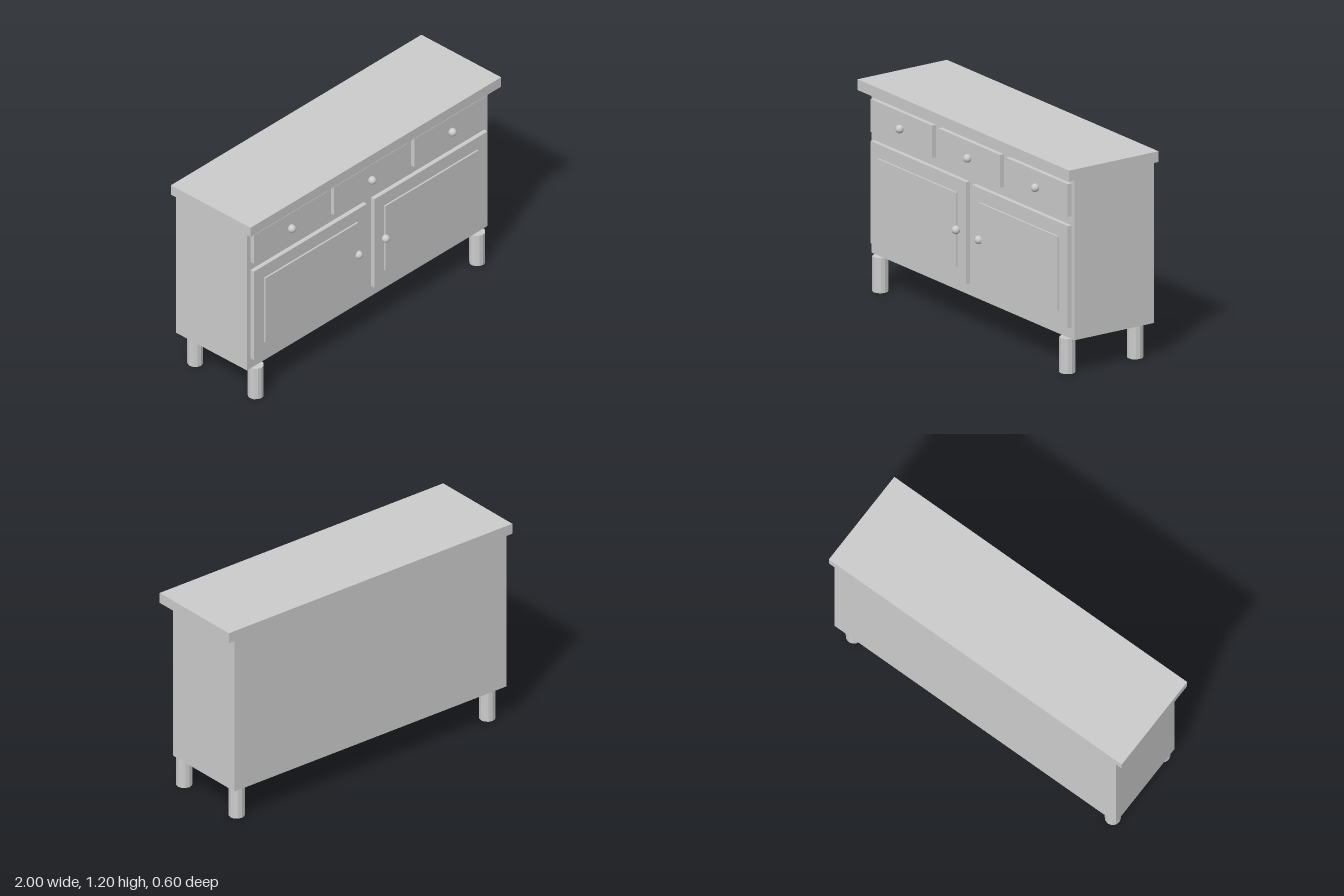
import * as THREE from 'three';

export function createModel() {
  const model = new THREE.Group();
  model.name = 'sideboard';
  const paint = new THREE.MeshStandardMaterial({ color: 0xcccccc });
  paint.name = 'light grey';
  const legPaint = paint;

  const add = (name, geometry, x, y, z, material = paint) => {
    const mesh = new THREE.Mesh(geometry, material);
    mesh.name = name;
    mesh.position.set(x, y, z);
    model.add(mesh);
    return mesh;
  };
  // Box given by its limits on each axis
  const box = (name, x0, x1, y0, y1, z0, z1) =>
    add(name, new THREE.BoxGeometry(x1 - x0, y1 - y0, z1 - z0),
      (x0 + x1) / 2, (y0 + y1) / 2, (z0 + z1) / 2);

  // Carcass and overhanging top, flush at the back
  box('cabinetBody', -0.96, 0.96, 0.202, 1.138, -0.3, 0.235);
  box('tableTop', -1, 1, 1.138, 1.2, -0.3, 0.3);

  const knobGeometry = new THREE.SphereGeometry(0.024, 16, 12);
  const knob = (name, x, y) => add(name, knobGeometry, x, y, 0.273);

  // Three drawers with centred knobs
  for (const x of [-0.641, 0, 0.641]) {
    box('drawerFront', x - 0.291, x + 0.291, 0.909, 1.097, 0.235, 0.261);
    knob('drawerKnob', x, 1.003);
  }

  // Two mirrored doors with raised panels and knobs on the inner edge
  for (const side of [-1, 1]) {
    const mirrored = (name, a, b, ...rest) =>
      box(name, Math.min(side * a, side * b), Math.max(side * a, side * b), ...rest);
    mirrored('door', 0.03, 0.932, 0.269, 0.856, 0.235, 0.261);
    mirrored('doorPanel', 0.108, 0.851, 0.349, 0.776, 0.261, 0.271);
    knob('doorKnob', side * 0.108, 0.563);
  }

  // Round faceted legs
  const legGeometry = new THREE.CylinderGeometry(0.045, 0.045, 0.202, 12).toNonIndexed();
  legGeometry.computeVertexNormals();
  for (const x of [-0.884, 0.884]) {
    for (const z of [-0.226, 0.229]) add('leg', legGeometry, x, 0.101, z, legPaint);
  }
  return model;
}
